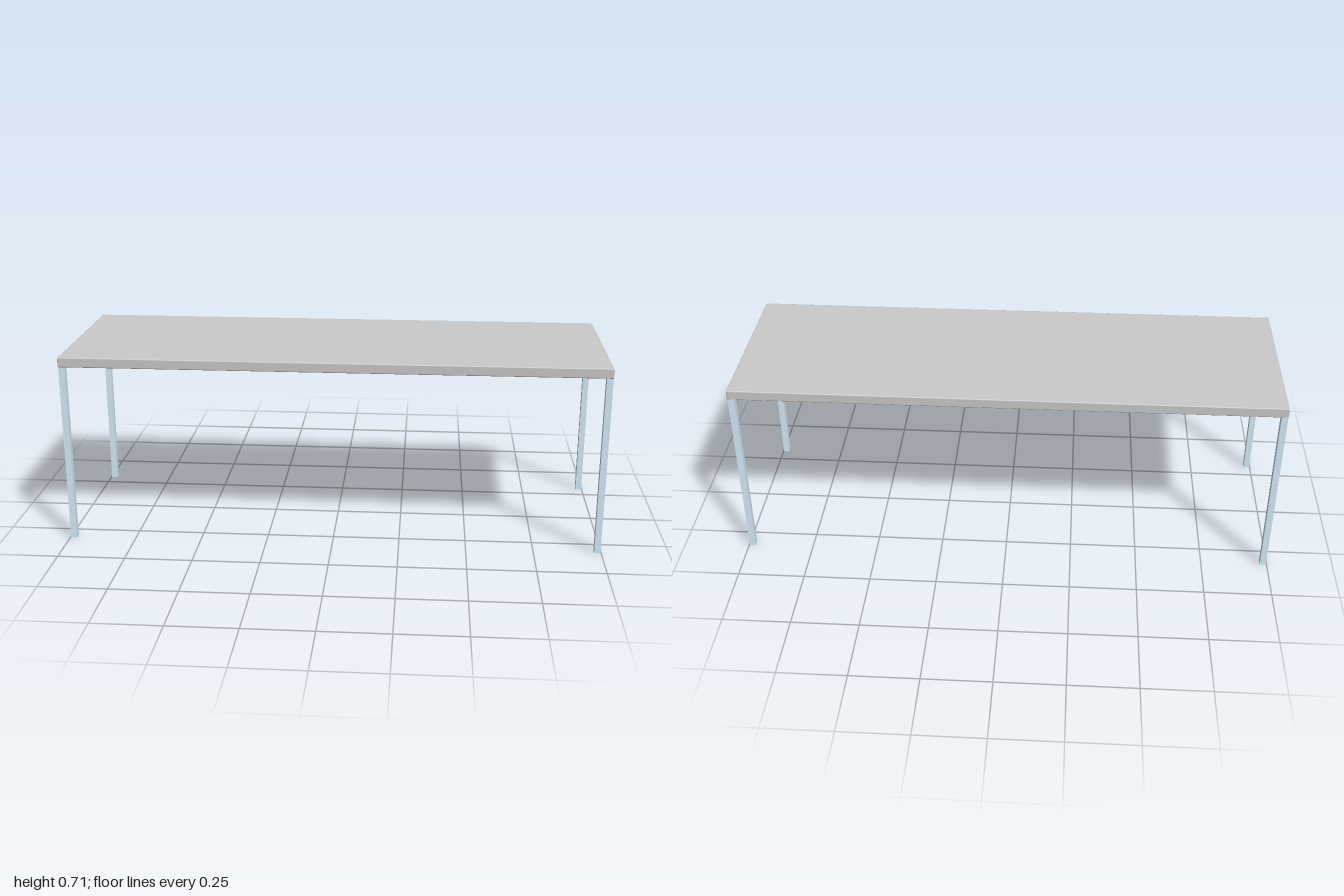
import * as THREE from 'three';
import { RoundedBoxGeometry } from 'three/addons/geometries/RoundedBoxGeometry.js';

const LENGTH = 2, DEPTH = 0.66, HEIGHT = 0.711, SLAB = 0.037;
const LEG = 0.0235, INSET = 0.002;

export function createModel() {
  const table = new THREE.Group();
  table.name = 'table';
  const topMaterial = new THREE.MeshStandardMaterial({ color: 0xcccccc });
  const legMaterial = new THREE.MeshStandardMaterial({ color: 0xd9efff });

  // Slab with slightly eased edges
  const top = new THREE.Mesh(new RoundedBoxGeometry(LENGTH, SLAB, DEPTH, 2, 0.004), topMaterial);
  top.name = 'tableTop';
  top.position.y = HEIGHT - SLAB / 2;
  table.add(top);

  // Four slim square legs, almost flush with the corners
  const legHeight = HEIGHT - SLAB;
  const legGeometry = new THREE.BoxGeometry(LEG, legHeight, LEG);
  for (const [xName, sx] of [['Left', 1], ['Right', -1]]) {
    for (const [zName, sz] of [['front', 1], ['back', -1]]) {
      const leg = new THREE.Mesh(legGeometry, legMaterial);
      leg.name = `${zName}${xName}Leg`;
      leg.position.set(
        sx * (LENGTH / 2 - INSET - LEG / 2),
        legHeight / 2,
        sz * (DEPTH / 2 - INSET - LEG / 2)
      );
      table.add(leg);
    }
  }
  return table;
}
